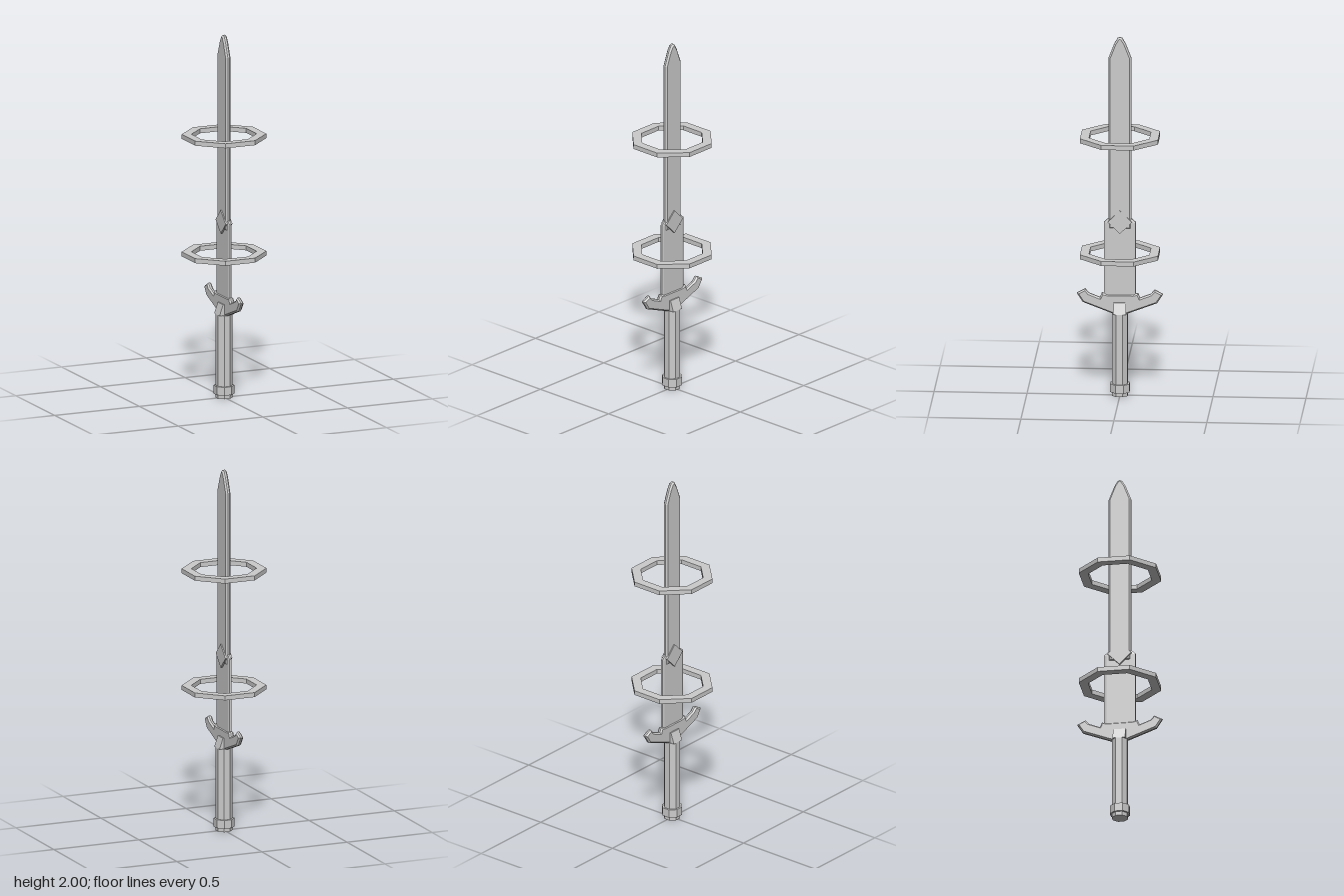
import * as THREE from 'three';

const material = new THREE.MeshStandardMaterial({ color: 0xcccccc, flatShading: true });

function add(group, name, geometry, y = 0) {
  const mesh = new THREE.Mesh(geometry, material);
  mesh.name = name;
  mesh.position.y = y;
  group.add(mesh);
  return mesh;
}

// Symmetric plate in the z-y plane, from one half outline [z, y] listed bottom to top.
// half = half thickness in x; edge = half thickness left at the rim after the bevel.
function plate(points, half, edge, bevel) {
  const other = points.filter(p => p[0] > 0).map(([z, y]) => [-z, y]).reverse();
  const shape = new THREE.Shape([...points, ...other].map(p => new THREE.Vector2(...p)));
  const geometry = new THREE.ExtrudeGeometry(shape, {
    depth: edge * 2, bevelEnabled: bevel > 0, bevelSegments: 1,
    bevelSize: bevel, bevelOffset: -bevel, bevelThickness: half - edge,
  });
  return geometry.translate(0, 0, -edge).rotateY(-Math.PI / 2);
}

// Octagon corners with flat sides facing the axes
function octagon(apothem) {
  const r = apothem / Math.cos(Math.PI / 8);
  return Array.from({ length: 8 }, (_, i) => {
    const a = (i + 0.5) * Math.PI / 4;
    return new THREE.Vector2(r * Math.cos(a), r * Math.sin(a));
  });
}

function prism(apothem, height) {
  return new THREE.ExtrudeGeometry(new THREE.Shape(octagon(apothem)), { depth: height, bevelEnabled: false })
    .rotateX(-Math.PI / 2);
}

function ring(outer, inner, height) {
  const shape = new THREE.Shape(octagon(outer));
  shape.holes.push(new THREE.Path(octagon(inner)));
  return new THREE.ExtrudeGeometry(shape, { depth: height, bevelEnabled: false }).rotateX(-Math.PI / 2);
}

export function createModel() {
  const sword = new THREE.Group();
  sword.name = 'sword';

  // Grip and pommel
  add(sword, 'grip', prism(0.042, 0.46));
  add(sword, 'pommel', prism(0.052, 0.046), 0.022);

  // Tapered collar joining the grip to the guard
  const collar = new THREE.Shape([[-0.042, 0.46], [0.042, 0.46], [0.021, 0.52], [-0.021, 0.52]]
    .map(p => new THREE.Vector2(...p)));
  add(sword, 'collar', new THREE.ExtrudeGeometry(collar, { depth: 0.068, bevelEnabled: false })
    .translate(0, 0, -0.034));

  // Upswept crossguard with hooked ends
  add(sword, 'guard', plate([
    [0.035, 0.455], [0.2, 0.518], [0.232, 0.568], [0.187, 0.592],
    [0.167, 0.569], [0.108, 0.546], [0.097, 0.572], [0.07, 0.565],
  ], 0.014, 0.005, 0.008));

  // Wide lower blade and long upper blade
  add(sword, 'lowerBlade', plate([
    [0.085, 0.48], [0.085, 0.968], [0.06, 0.99],
  ], 0.009, 0.005, 0.012));
  add(sword, 'upperBlade', plate([
    [0.061, 0.93], [0.061, 1.885], [0.03, 1.965], [0.012, 1.995], [0, 2],
  ], 0.014, 0.005, 0.009));

  // Diamond block where the blades meet
  const diamond = add(sword, 'diamond', new THREE.BoxGeometry(0.04, 0.092, 0.092), 0.97);
  diamond.rotation.x = Math.PI / 4;

  // Floating octagonal rings
  [['lowerRing', 0.78], ['upperRing', 1.428]].forEach(([name, y]) =>
    add(sword, name, ring(0.21, 0.162, 0.025), y));

  return sword;
}
